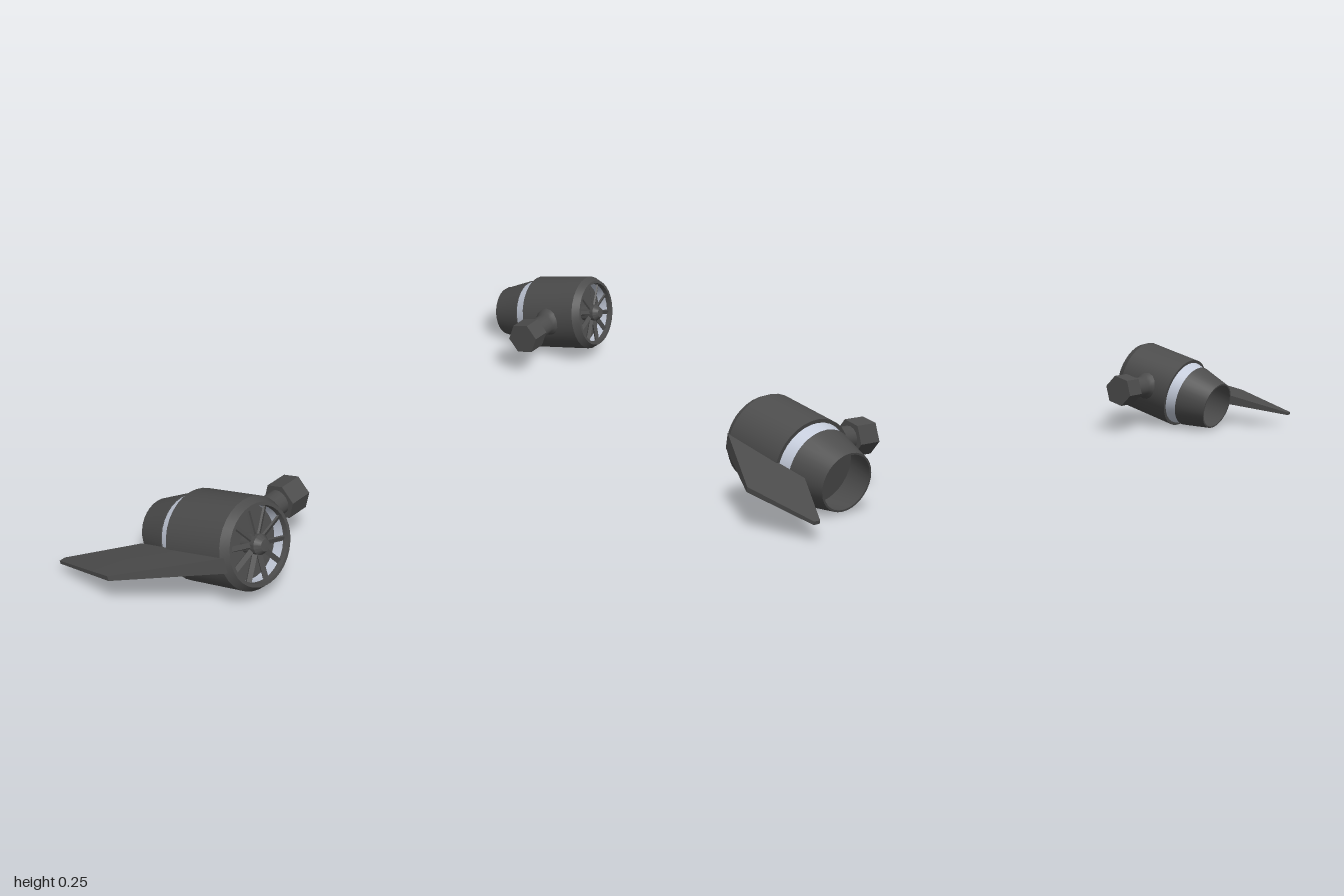
import * as THREE from 'three';
import { toCreasedNormals } from 'three/addons/utils/BufferGeometryUtils.js';

const TILT = 0.252; // nose-up angle of each engine
const dark = new THREE.MeshStandardMaterial({ color: 0x4c4c4c, side: THREE.DoubleSide });
dark.name = 'dark grey';
const light = new THREE.MeshStandardMaterial({ color: 0xc3cad9, side: THREE.DoubleSide });
light.name = 'pale metal';

function add(parent, name, geometry, material) {
  const mesh = new THREE.Mesh(geometry, material);
  mesh.name = name;
  parent.add(mesh);
  return mesh;
}

// Surface of revolution along the engine axis (+z); profile points are [radius, z]
function turned(profile, segments = 32) {
  const g = new THREE.LatheGeometry(profile.map(([r, z]) => new THREE.Vector2(r, z)), segments);
  g.rotateX(Math.PI / 2);
  return toCreasedNormals(g, 0.4);
}

// Swept fin: plan outline in x/z, with a half thickness that tapers outwards
function finGeometry(side) {
  const outline = [ // outward offset, z, half thickness
    [0.1, -0.091, 0.015], [0.105, 0.184, 0.019], [0.2365, -0.064, 0.006],
    [0.214, -0.262, 0.004], [0.198, -0.262, 0.004],
  ];
  const n = outline.length;
  const pos = [];
  for (const s of [1, -1]) for (const [u, z, t] of outline) pos.push(side * u, s * t, z);
  const index = [];
  const tri = (a, b, c) => index.push(...(side > 0 ? [a, b, c] : [a, c, b]));
  for (let i = 1; i < n - 1; i++) {
    tri(0, i, i + 1);
    tri(n, n + i + 1, n + i);
  }
  for (let i = 0; i < n; i++) {
    const j = (i + 1) % n;
    tri(i, n + i, j);
    tri(j, n + i, n + j);
  }
  const g = new THREE.BufferGeometry();
  g.setAttribute('position', new THREE.Float32BufferAttribute(pos, 3));
  g.setIndex(index);
  return toCreasedNormals(g, 0.3);
}

function createEngine(side) {
  const engine = new THREE.Group();
  engine.name = side > 0 ? 'leftEngine' : 'rightEngine';

  // Main shell with chamfered intake lip
  add(engine, 'shell', turned([
    [0.09, 0], [0.1085, 0], [0.1085, 0.173], [0.097, 0.1935], [0.089, 0.1935], [0.087, 0.18],
  ]), dark);
  add(engine, 'intakeLining', turned([[0.087, 0.18], [0.087, 0.15]]), light);
  add(engine, 'intakeBack', turned([[0.088, 0.152], [0, 0.152]]), dark);

  // Pale ring between shell and nozzle
  add(engine, 'band', turned([[0.091, -0.035], [0.1, 0.002]]), light);

  // Hollow tapering exhaust
  add(engine, 'nozzle', turned([
    [0, -0.035], [0.088, -0.035], [0.068, -0.123], [0.0726, -0.123], [0.095, -0.0325], [0.085, -0.0325],
  ]), dark);

  // Fan with hub and pitched blades
  const fan = new THREE.Group();
  fan.name = 'fan';
  engine.add(fan);
  add(fan, 'hub', turned([[0.024, 0.15], [0.024, 0.194], [0.014, 0.208], [0, 0.209]], 16), dark);
  const count = 10;
  const blade = new THREE.BoxGeometry(0.012, 0.07, 0.005);
  blade.rotateY(0.5);
  blade.translate(0, 0.054, 0.181);
  for (let i = 0; i < count; i++) {
    add(fan, 'blade', blade, dark).rotation.z = (i / count) * Math.PI * 2;
  }

  // Swept fin on the outer side
  add(engine, 'fin', finGeometry(side), dark);

  // Mounting arm on the inner side: flared strut and hexagonal end
  const arm = new THREE.Group();
  arm.name = 'mountingArm';
  arm.position.set(0, 0.004, 0.083);
  arm.rotation.z = side * Math.PI / 2; // local +y points to the middle
  engine.add(arm);
  const strut = new THREE.LatheGeometry(
    [[0.046, 0.09], [0.036, 0.112], [0.031, 0.125], [0.031, 0.19]].map(([r, y]) => new THREE.Vector2(r, y)), 16);
  add(arm, 'strut', strut, dark);
  const hex = new THREE.CylinderGeometry(0.047, 0.047, 0.06, 6);
  hex.translate(0, 0.215, 0);
  add(arm, 'hexEnd', toCreasedNormals(hex, 0.4), dark);

  engine.position.set(side * 0.7635, 0.107, 0.0215);
  engine.rotation.x = -TILT;
  return engine;
}

export function createModel() {
  const model = new THREE.Group();
  model.name = 'enginePair';
  for (const side of [1, -1]) model.add(createEngine(side));
  return model;
}
